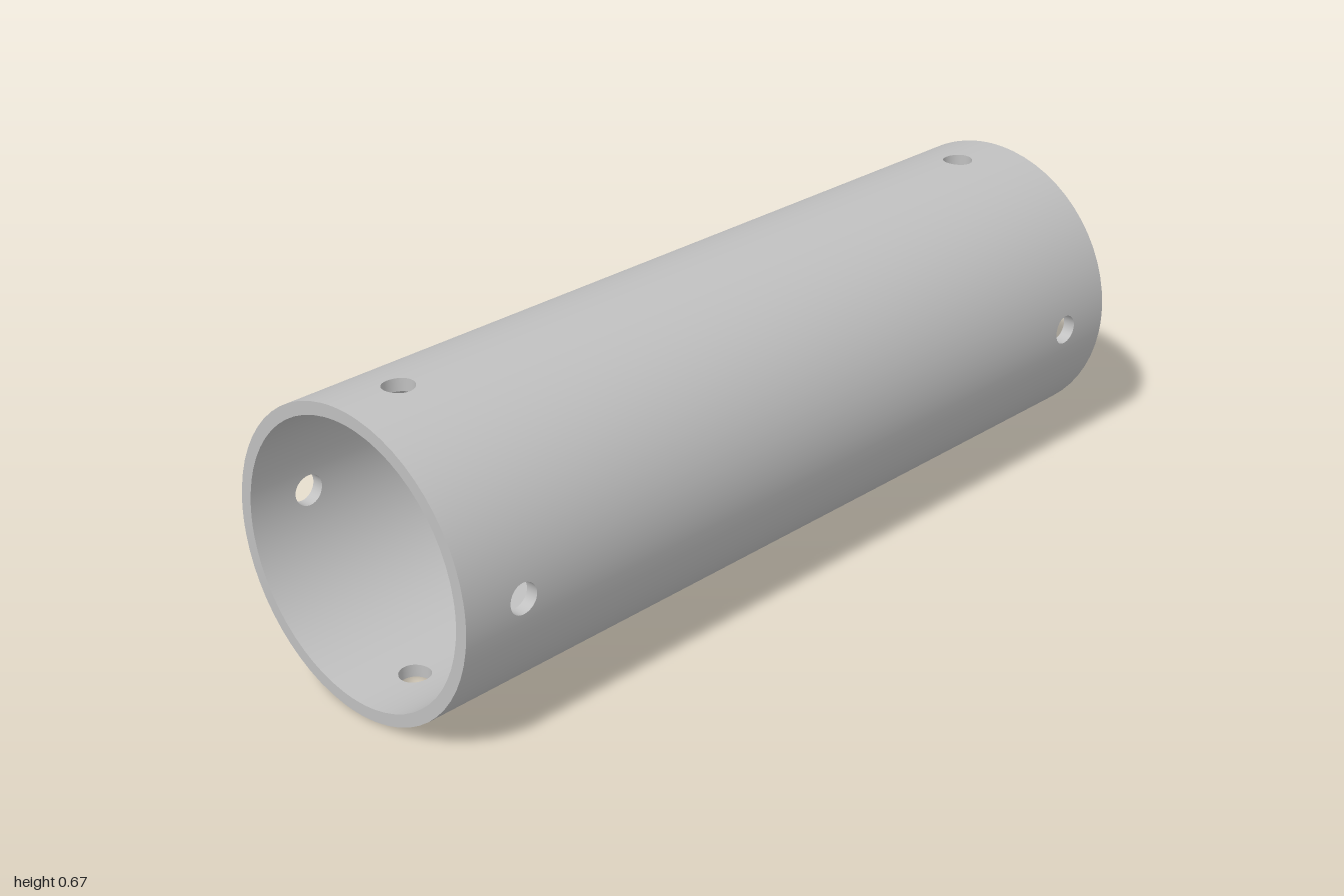
import * as THREE from 'three';

const OUTER = 0.335, INNER = 0.307, HALF = 1;
const HOLE_X = 0.855, HOLE_R = 0.034;
const PATCH = Math.PI / 20;          // half angle of the strip that carries the holes
const PATCH_X = 0.0525;              // half length of the patch around a hole
const QUARTERS = [0, 1, 2, 3].map(i => i * Math.PI / 2);
const ENDS = [-1, 1];

const onTube = (r, x, t) => new THREE.Vector3(x, r * Math.sin(t), r * Math.cos(t));
const lerp = THREE.MathUtils.lerp;

// Collects grid patches with exact normals; each triangle is turned to face its normal.
class Surface {
  constructor() { this.pos = []; this.nor = []; }
  tri(...v) {
    const [a, b, c] = v.map(q => q.p);
    const face = b.clone().sub(a).cross(c.clone().sub(a));
    if (face.dot(v[0].n) < 0) v.reverse();
    for (const q of v) { this.pos.push(...q.p.toArray()); this.nor.push(...q.n.toArray()); }
  }
  grid(nu, nv, point) {
    for (let i = 0; i < nu; i++) for (let j = 0; j < nv; j++) {
      const a = point(i / nu, j / nv), b = point((i + 1) / nu, j / nv);
      const c = point((i + 1) / nu, (j + 1) / nv), d = point(i / nu, (j + 1) / nv);
      this.tri(a, b, c);
      this.tri(a, c, d);
    }
  }
  mesh(name, material) {
    const g = new THREE.BufferGeometry();
    g.setAttribute('position', new THREE.Float32BufferAttribute(this.pos, 3));
    g.setAttribute('normal', new THREE.Float32BufferAttribute(this.nor, 3));
    const m = new THREE.Mesh(g, material);
    m.name = name;
    return m;
  }
}

// Rim of a drilled hole, as x offset and angle offset on a tube of radius r
const rim = (r, phi) => [HOLE_R * Math.cos(phi), Math.asin(HOLE_R * Math.sin(phi) / r)];

// Outline of the rectangular patch around a hole
const border = phi => {
  const c = Math.cos(phi), s = Math.sin(phi), m = Math.max(Math.abs(c), Math.abs(s));
  return [PATCH_X * c / m, PATCH * s / m];
};

// Cylindrical wall with four pairs of round holes
function wall(r, sign) {
  const s = new Surface();
  const at = (x, t) => ({ p: onTube(r, x, t), n: onTube(sign, 0, t) });
  const stripAngle = u => PATCH * Math.tan((u - 0.5) * Math.PI / 2);
  const spans = [[-HALF, -HOLE_X - PATCH_X], [-HOLE_X + PATCH_X, HOLE_X - PATCH_X], [HOLE_X + PATCH_X, HALF]];
  for (const q of QUARTERS) {
    // plain strip between two rows of holes
    s.grid(12, 1, (u, v) => at(lerp(-HALF, HALF, v), q + lerp(PATCH, Math.PI / 2 - PATCH, u)));
    // strip in line with the holes
    for (const [x0, x1] of spans) s.grid(8, 1, (u, v) => at(lerp(x0, x1, v), q + stripAngle(u)));
    // patches around the holes
    for (const e of ENDS) s.grid(32, 2, (u, v) => {
      const phi = u * Math.PI * 2, [ax, at0] = rim(r, phi), [bx, bt] = border(phi);
      return at(e * HOLE_X + lerp(ax, bx, v), q + lerp(at0, bt, v));
    });
  }
  return s;
}

export function createModel() {
  const metal = new THREE.MeshStandardMaterial({ color: 0xc0c0c0 });
  metal.name = 'grey metal';

  const tube = new THREE.Group();
  tube.name = 'drilledTube';
  tube.position.y = OUTER;
  tube.add(wall(OUTER, 1).mesh('outerWall', metal), wall(INNER, -1).mesh('innerWall', metal));

  // Flat end rings, divided like the walls
  const angles = [];
  for (const q of QUARTERS) {
    for (let i = 0; i < 8; i++) angles.push(q + PATCH * Math.tan((i / 8 - 0.5) * Math.PI / 2));
    for (let i = 0; i < 12; i++) angles.push(q + lerp(PATCH, Math.PI / 2 - PATCH, i / 12));
  }
  for (const e of ENDS) {
    const ring = new Surface();
    ring.grid(angles.length, 1, (u, v) => ({
      p: onTube(lerp(INNER, OUTER, v), e * HALF, angles[Math.round(u * angles.length) % angles.length]),
      n: new THREE.Vector3(e, 0, 0),
    }));
    tube.add(ring.mesh(e > 0 ? 'leftEndRing' : 'rightEndRing', metal));
  }

  // Bores through the wall thickness
  const bores = new Surface();
  for (const q of QUARTERS) for (const e of ENDS) bores.grid(32, 1, (u, v) => {
    const phi = u * Math.PI * 2, r = v < 0.5 ? INNER : OUTER, [dx, dt] = rim(r, phi);
    const n = new THREE.Vector3(-Math.cos(phi), -Math.sin(phi) * Math.cos(q), Math.sin(phi) * Math.sin(q));
    return { p: onTube(r, e * HOLE_X + dx, q + dt), n };
  });
  tube.add(bores.mesh('holeBores', metal));

  const model = new THREE.Group();
  model.name = 'tubeModel';
  model.add(tube);
  return model;
}
